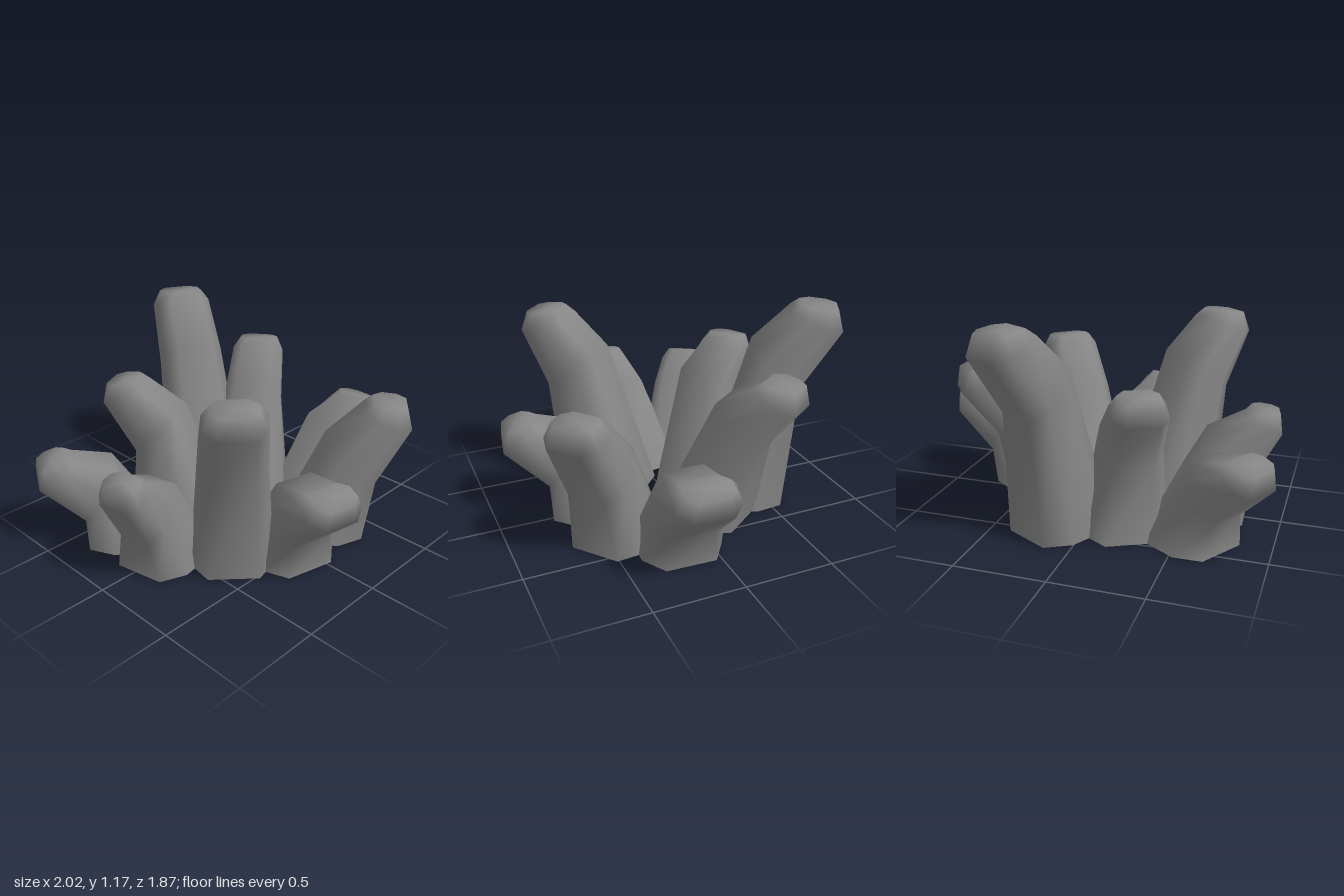
import * as THREE from 'three';
import { mergeVertices } from 'three/addons/utils/BufferGeometryUtils.js';

// Boxy cross-section with cut corners: [across, outward]
const SECTION = [[1, -0.45], [1, 0.45], [0.62, 1], [-0.62, 1], [-1, 0.45], [-1, -0.45], [-0.62, -1], [0.62, -1]];
const N = SECTION.length;
const UP = new THREE.Vector3(0, 1, 0);

// One ring of the section, its plane facing along normal
function ring(center, normal, across, halfWidth, halfDepth) {
  const outward = new THREE.Vector3().crossVectors(across, normal).normalize();
  return SECTION.map(([a, o]) => center.clone()
    .addScaledVector(across, a * halfWidth)
    .addScaledVector(outward, o * halfDepth));
}

// Leans a direction towards vertical; a larger weight leans it less
function lean(dir, weight) {
  return dir.clone().multiplyScalar(weight).add(UP).normalize();
}

// Lofts rings from bottom to top, closed at the tip and open at the foot
function loft(rings, top) {
  const pos = [];
  const tri = (...pts) => pts.forEach((p) => pos.push(p.x, p.y, p.z));
  for (let r = 0; r < rings.length - 1; r++) {
    for (let i = 0; i < N; i++) {
      const j = (i + 1) % N;
      const a = rings[r][i], b = rings[r][j], c = rings[r + 1][j], d = rings[r + 1][i];
      tri(a, d, b);
      tri(b, d, c);
    }
  }
  const last = rings[rings.length - 1];
  for (let i = 0; i < N; i++) tri(top, last[(i + 1) % N], last[i]);
  const geometry = mergeVertices(new THREE.BufferGeometry()
    .setAttribute('position', new THREE.Float32BufferAttribute(pos, 3)), 1e-4);
  geometry.computeVertexNormals();
  return geometry;
}

// Stalks: base [x, z], bend [x, y, z], neck [x, y, z], tip half width, neck half depth
const STALKS = [
  ['tallBackStalk', [0.15, -0.41], [0.195, 0.82, -0.585], [0.295, 1.09, -0.77], 0.16, 0.145],
  ['backRightStalk', [0.26, -0.13], [0.43, 0.6, -0.265], [0.6, 0.8, -0.39], 0.15, 0.13],
  ['sideRightStalk', [0.49, 0.16], [0.68, 0.35, 0.17], [0.905, 0.485, 0.18], 0.175, 0.115],
  ['frontRightStalk', [0.285, 0.41], [0.375, 0.46, 0.53], [0.495, 0.735, 0.68], 0.16, 0.13],
  ['frontStalk', [-0.05, 0.435], [-0.1, 0.35, 0.59], [-0.155, 0.485, 0.815], 0.165, 0.115],
  ['frontLeftStalk', [-0.29, 0.25], [-0.415, 0.74, 0.385], [-0.535, 0.99, 0.515], 0.16, 0.13],
  ['sideLeftStalk', [-0.54, -0.02], [-0.69, 0.37, 0.03], [-0.865, 0.555, 0.065], 0.13, 0.105],
  ['lowBackLeftStalk', [-0.55, -0.33], [-0.69, 0.33, -0.4], [-0.88, 0.465, -0.52], 0.15, 0.115],
  ['backLeftStalk', [-0.18, -0.3], [-0.24, 0.55, -0.37], [-0.33, 0.755, -0.55], 0.145, 0.125],
];

export function createModel() {
  const model = new THREE.Group();
  model.name = 'stalkCluster';
  const material = new THREE.MeshStandardMaterial({ color: 0x868686, side: THREE.DoubleSide });

  for (const [name, b, m, n, width, depth] of STALKS) {
    const base = new THREE.Vector3(b[0], 0, b[1]);
    const bend = new THREE.Vector3(...m);
    const neck = new THREE.Vector3(...n);
    const dir = neck.clone().sub(bend).normalize();
    const across = new THREE.Vector3().crossVectors(dir, UP).normalize();
    const capNormal = lean(dir, 0.9 * (1 - dir.y));
    const cap = neck.clone().addScaledVector(capNormal, 0.075);

    const stalk = new THREE.Mesh(loft([
      ring(base, UP, across, 0.225, 0.24),
      ring(bend, dir, across, width + 0.015, 0.175),
      ring(neck, lean(dir, 1.9 - dir.y), across, width, depth),
      ring(cap, capNormal, across, width * 0.74, depth * 0.7),
    ], cap), material);
    stalk.name = name;
    model.add(stalk);
  }
  return model;
}
